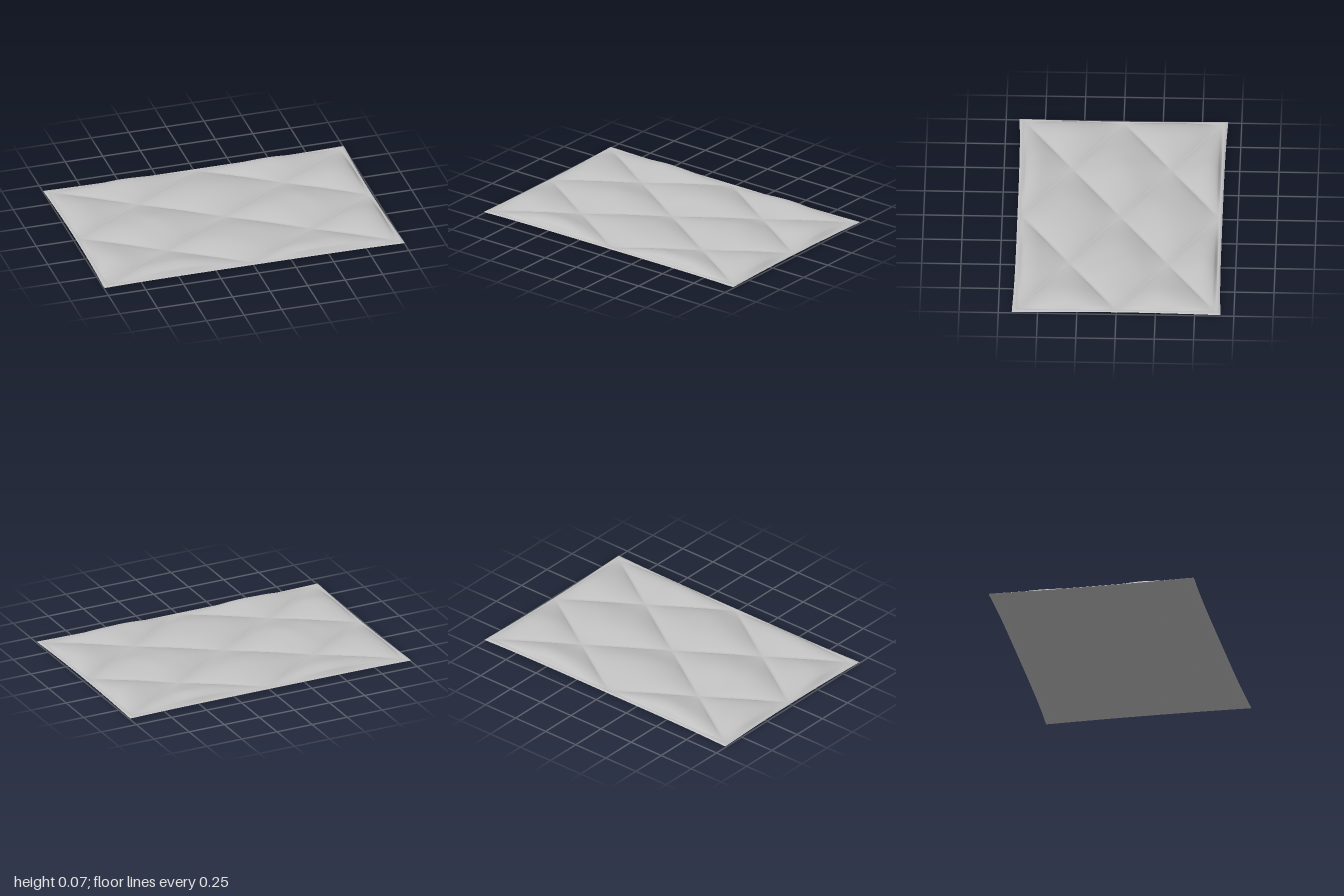
import * as THREE from 'three';

const N = 60;            // grid steps from centre to border seam
const FLANGE = 4;        // grid steps across the flat hem
const HALF_X = 0.97, HALF_Z = 0.63;

const fabric = new THREE.MeshStandardMaterial({ color: 0xc0c0c0 });
fabric.name = 'grey fabric';

const clamp = THREE.MathUtils.clamp;
const toLine = (t) => Math.abs(t - Math.round(t));   // distance to the nearest seam

// Soft irregular folds in the padding
function wrinkle(x, z) {
  return 0.0022 * Math.sin(9 * x + 4 * Math.sin(5 * z + 1) + 2)
       + 0.0016 * Math.sin(13 * z - 7 * x + 3 * Math.sin(6 * x));
}

// Upper surface: pillows between diagonal seams, falling to the border seam
function topHeight(u, v, x, z) {
  const pillow = Math.pow(Math.sin(Math.PI * toLine(u + v)) * Math.sin(Math.PI * toLine(u - v)), 0.7);
  const rim = (d) => Math.sqrt(1 - (1 - clamp(d / 0.2, 0, 1)) ** 2);
  const puff = pillow * rim(1 - Math.abs(u)) * rim(1 - Math.abs(v));
  return 0.011 + puff * (0.052 + wrinkle(x, z));
}

// Underside: flat panels with narrow stitched grooves
function bottomHeight(u, v) {
  const d = Math.min(toLine(u + v) * 0.7, toLine(u - v) * 0.7, 1 - Math.abs(u), 1 - Math.abs(v));
  return 0.006 * (1 - clamp(d / 0.05, 0, 1)) ** 2;
}

function sheet(name, isTop) {
  const R = N + FLANGE, W = 2 * R + 1;
  const positions = [], index = [];
  for (let j = -R; j <= R; j++) {
    for (let i = -R; i <= R; i++) {
      const u = clamp(i / N, -1, 1), v = clamp(j / N, -1, 1);
      const su = Math.max(0, Math.abs(i) - N) / FLANGE;
      const sv = Math.max(0, Math.abs(j) - N) / FLANGE;
      // The hem flares out slightly at the corners
      const x = u * HALF_X + Math.sign(i) * su * (0.018 + 0.012 * v * v);
      const z = v * HALF_Z + Math.sign(j) * sv * (0.023 + 0.011 * u ** 4);
      const s = Math.max(su, sv);
      let y;
      if (s > 0) {
        const bulge = Math.sin(Math.PI * s);
        y = isTop ? 0.011 - 0.003 * s + 0.004 * bulge : 0.006 + 0.002 * s - 0.004 * bulge;
      } else {
        y = isTop ? topHeight(u, v, x, z) : bottomHeight(u, v);
      }
      positions.push(x, y, z);
    }
  }
  const tri = (a, b, c) => (isTop ? index.push(a, b, c) : index.push(a, c, b));
  for (let j = 0; j < W - 1; j++) {
    for (let i = 0; i < W - 1; i++) {
      const a = j * W + i, b = a + 1, c = a + W, d = c + 1;
      // Alternating diagonals keep both seam directions on mesh edges
      if ((i + j) % 2 === 0) { tri(a, c, d); tri(a, d, b); }
      else { tri(a, c, b); tri(b, c, d); }
    }
  }
  const g = new THREE.BufferGeometry();
  g.setAttribute('position', new THREE.Float32BufferAttribute(positions, 3));
  g.setIndex(index);
  g.computeVertexNormals();
  const mesh = new THREE.Mesh(g, fabric);
  mesh.name = name;
  return mesh;
}

export function createModel() {
  const group = new THREE.Group();
  group.name = 'quiltedPad';
  group.add(sheet('quiltedTop', true), sheet('underside', false));
  return group;
}
